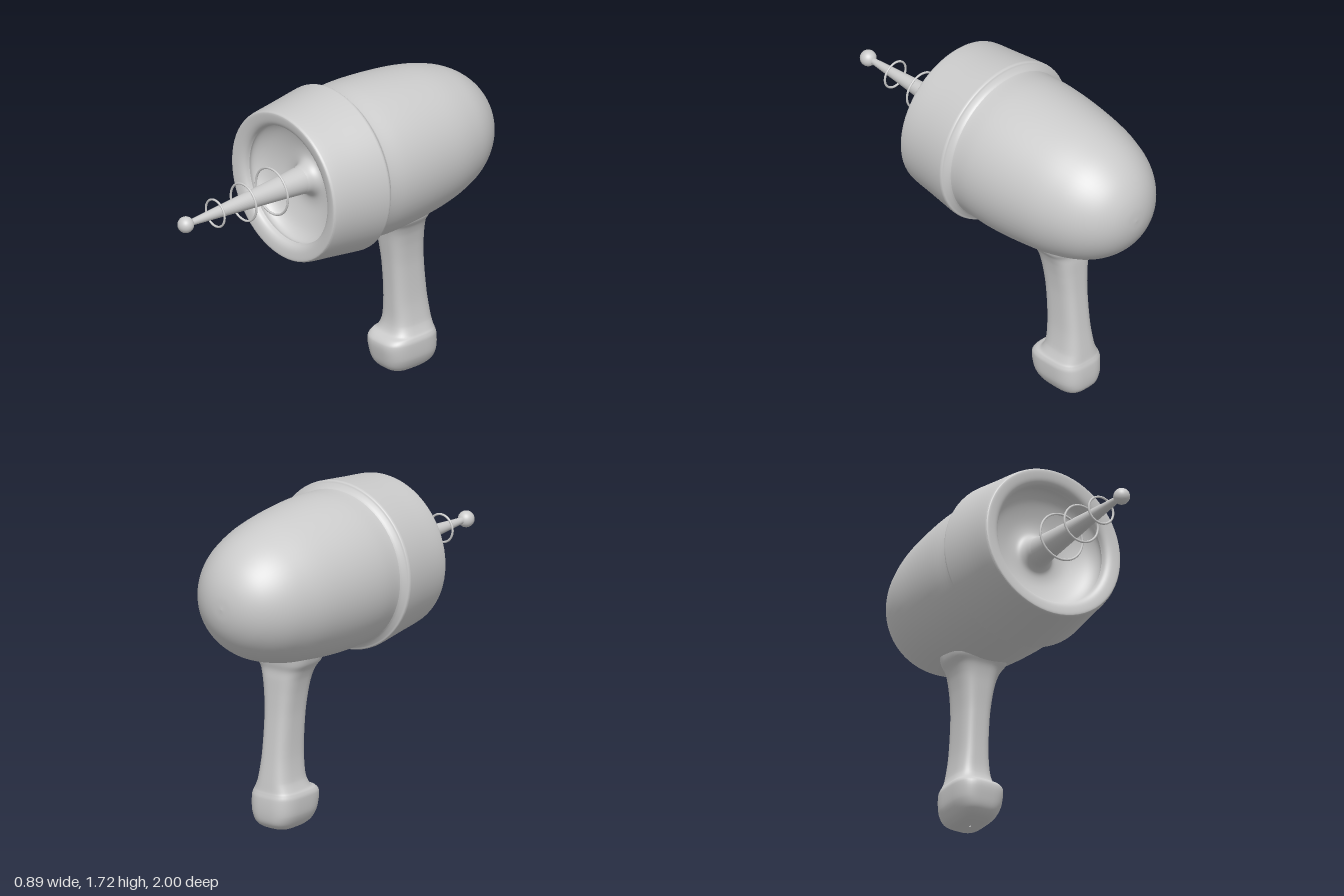
import * as THREE from 'three';

const AXIS_Y = 1.275;

// smooth curve through 2D points
function smooth(points, count) {
  const curve = new THREE.CatmullRomCurve3(points.map(([a, b]) => new THREE.Vector3(a, b, 0)), false, 'centripetal');
  return curve.getPoints(count).map(p => new THREE.Vector2(Math.max(p.x, 0), p.y));
}

// loft of rounded-square sections: [y, zFront, zBack, halfWidth]
function loft(rows, steps, sides, power) {
  const a = new THREE.CatmullRomCurve3(rows.map(r => new THREE.Vector3(r[1], r[0], r[2])), false, 'centripetal');
  const w = rows.map(r => r[3]);
  const pos = [], idx = [];
  const n = (rows.length - 1) * steps;
  const soft = v => Math.sign(v) * Math.pow(Math.abs(v), 2 / power);
  for (let i = 0; i <= n; i++) {
    const p = a.getPoint(i / n);
    const k = Math.min(Math.floor(i / steps), rows.length - 2);
    const t = i / steps - k;
    const w0 = w[Math.max(k - 1, 0)], w1 = w[k], w2 = w[k + 1], w3 = w[Math.min(k + 2, w.length - 1)];
    const half = w1 + 0.5 * t * (w2 - w0 + t * (2 * w0 - 5 * w1 + 4 * w2 - w3 + t * (3 * (w1 - w2) + w3 - w0)));
    const mid = (p.x + p.z) / 2, depth = (p.x - p.z) / 2;
    for (let j = 0; j < sides; j++) {
      const ang = (j / sides) * Math.PI * 2;
      pos.push(soft(Math.cos(ang)) * half, p.y, mid + soft(Math.sin(ang)) * depth);
    }
  }
  for (let i = 0; i < n; i++) {
    for (let j = 0; j < sides; j++) {
      const q = i * sides + j, r = i * sides + (j + 1) % sides;
      idx.push(q, q + sides, r, r, q + sides, r + sides);
    }
  }
  const g = new THREE.BufferGeometry();
  g.setAttribute('position', new THREE.Float32BufferAttribute(pos, 3));
  g.setIndex(idx);
  g.computeVertexNormals();
  return g;
}

export function createModel() {
  const model = new THREE.Group();
  const mat = new THREE.MeshStandardMaterial({ color: 0xcccccc, roughness: 0.6, side: THREE.DoubleSide });

  const add = (name, geo, y = 0, z = 0) => {
    const m = new THREE.Mesh(geo, mat);
    m.name = name;
    m.position.set(0, y, z);
    model.add(m);
    return m;
  };
  // profile of [radius, z] turned about the barrel axis, back to front
  const turn = (name, points, sides = 64) =>
    add(name, new THREE.LatheGeometry(points, sides).rotateX(Math.PI / 2), AXIS_Y);

  // egg-shaped body
  turn('body', smooth([
    [0, -1], [0.07, -0.993], [0.14, -0.97], [0.21, -0.925], [0.27, -0.86], [0.315, -0.785],
    [0.35, -0.69], [0.375, -0.59], [0.395, -0.45], [0.408, -0.3], [0.411, -0.18],
    [0.406, -0.07], [0.408, -0.058],
  ], 60));

  // flared collar with softened shoulder and front edge
  turn('collar', smooth([
    [0.406, -0.066], [0.413, -0.055], [0.43, -0.04], [0.44, -0.034], [0.443, -0.025], [0.442, -0.012],
    [0.422, 0.15], [0.404, 0.295], [0.4, 0.305],
  ], 40));

  // rounded front rim
  turn('rim', smooth([
    [0.4, 0.305], [0.395, 0.309], [0.37, 0.308], [0.34, 0.3], [0.322, 0.285], [0.315, 0.262],
  ], 20));

  // hollow dish that flares into the central spike
  turn('dish', smooth([
    [0.315, 0.262], [0.324, 0.24], [0.318, 0.215], [0.285, 0.18], [0.22, 0.148],
    [0.15, 0.13], [0.105, 0.135], [0.082, 0.16], [0.072, 0.2],
  ], 40));

  // tapering spike with ball tip
  turn('spike', [[0.072, 0.2], [0.0625, 0.31], [0.015, 0.94]].map(p => new THREE.Vector2(...p)), 32);
  add('spikeTip', new THREE.SphereGeometry(0.043, 32, 20), AXIS_Y, 0.957);

  // thin floating rings around the spike
  [[0.125, 0.382], [0.1, 0.571], [0.073, 0.76]].forEach(([r, z], i) =>
    add('spikeRing' + (i + 1), new THREE.TorusGeometry(r, 0.006, 10, 48), AXIS_Y, z));

  // grip with a bulbous foot
  add('handle', loft([
    [0.002, -0.485, -0.495, 0.004], [0.006, -0.43, -0.56, 0.055], [0.022, -0.375, -0.615, 0.088],
    [0.05, -0.345, -0.645, 0.112], [0.1, -0.328, -0.655, 0.132], [0.18, -0.32, -0.652, 0.137],
    [0.205, -0.34, -0.645, 0.13], [0.222, -0.375, -0.64, 0.118], [0.27, -0.395, -0.633, 0.098],
    [0.4, -0.398, -0.615, 0.082], [0.6, -0.385, -0.595, 0.081], [0.72, -0.37, -0.588, 0.092],
    [0.8, -0.357, -0.585, 0.108], [0.85, -0.342, -0.582, 0.127], [0.89, -0.318, -0.59, 0.152],
    [0.95, -0.3, -0.6, 0.165],
  ], 5, 48, 3.2));

  return model;
}
